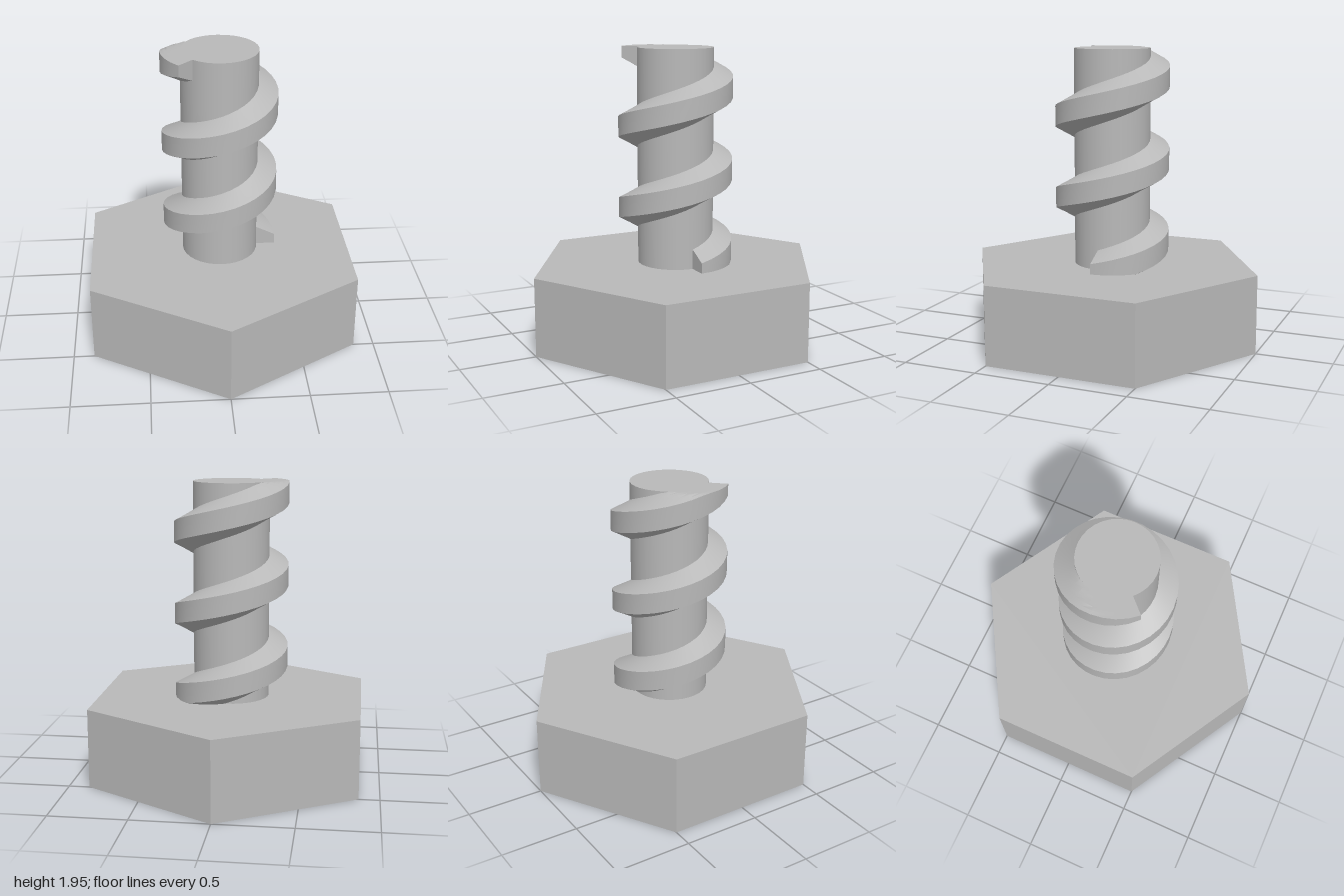
import * as THREE from 'three';
import { toCreasedNormals } from 'three/addons/utils/BufferGeometryUtils.js';

const HEAD_TOP = 0.52, TOP = 1.945, SOCKET = 0.4;
const SHAFT_R = 0.25, THREAD_R = 0.375, PITCH = 0.54, TURNS = 2.625, SIDES = 32;

// Upright prism from a flat outline, standing on y = 0
function prism(shape, height) {
  const geo = new THREE.ExtrudeGeometry(shape, { depth: height, bevelEnabled: false });
  return geo.rotateX(-Math.PI / 2);
}

function hexagon() {
  const pts = [];
  for (let i = 0; i < 6; i++) {
    const a = Math.PI / 2 + (i * Math.PI) / 3;
    pts.push(new THREE.Vector2(Math.cos(a), Math.sin(a)));
  }
  return new THREE.Shape(pts);
}

// Plus-shaped outline, one arm at a time
function cross(w, l) {
  const pts = [];
  for (let i = 0; i < 4; i++) {
    for (const [x, y] of [[l, -w], [l, w], [w, w]]) {
      pts.push(new THREE.Vector2(x, y).rotateAround(new THREE.Vector2(), (i * Math.PI) / 2));
    }
  }
  return new THREE.Path(pts);
}

// Trapezoid section swept up a helix, cut flat at the shaft top and inside the head
function threadGeometry() {
  const inner = SHAFT_R - 0.008, profile = [], flank = 6;
  const flankPoint = (k) => [
    THREE.MathUtils.lerp(inner, THREAD_R, k / flank),
    THREE.MathUtils.lerp(0.134, 0.068, k / flank),
  ];
  for (let k = 0; k <= flank; k++) {
    const [r, h] = flankPoint(k);
    profile.push([r, -h]);
  }
  for (let k = flank; k >= 0; k--) profile.push(flankPoint(k));

  const n = profile.length, steps = Math.round(TURNS * SIDES);
  const pos = [], index = [];
  for (let i = 0; i <= steps; i++) {
    const t = (i / SIDES) * Math.PI * 2;
    const mid = HEAD_TOP + (i / SIDES) * PITCH;
    for (const [r, dy] of profile) {
      const y = THREE.MathUtils.clamp(mid + dy, HEAD_TOP - 0.02, TOP);
      pos.push(r * Math.cos(t), y, -r * Math.sin(t));
    }
  }
  for (let i = 0; i < steps; i++) {
    for (let j = 0; j < n - 1; j++) {
      const a = i * n + j, b = a + n;
      index.push(a, b, b + 1, a, b + 1, a + 1);
    }
  }
  // End faces
  const last = steps * n;
  for (let j = 1; j < n - 1; j++) {
    index.push(0, j, j + 1, last, last + j + 1, last + j);
  }
  const geo = new THREE.BufferGeometry();
  geo.setAttribute('position', new THREE.Float32BufferAttribute(pos, 3));
  geo.setIndex(index);
  return toCreasedNormals(geo, 0.35);
}

export function createModel() {
  const group = new THREE.Group();
  group.name = 'bolt';
  const steel = new THREE.MeshStandardMaterial({ color: 0xb8b8b8 });
  steel.name = 'grey steel';

  const add = (name, geo, y = 0) => {
    const mesh = new THREE.Mesh(geo, steel);
    mesh.name = name;
    mesh.position.y = y;
    group.add(mesh);
  };

  // Hexagonal head with a cross-shaped socket underneath
  const socketed = hexagon();
  socketed.holes.push(cross(0.195, 0.6));
  add('headWithSocket', prism(socketed, SOCKET));
  add('headTop', prism(hexagon(), HEAD_TOP - SOCKET), SOCKET);

  // Shaft and its helical thread
  const shaftH = TOP - HEAD_TOP;
  add('shaft', new THREE.CylinderGeometry(SHAFT_R, SHAFT_R, shaftH, SIDES), HEAD_TOP + shaftH / 2);
  add('thread', threadGeometry());

  return group;
}
